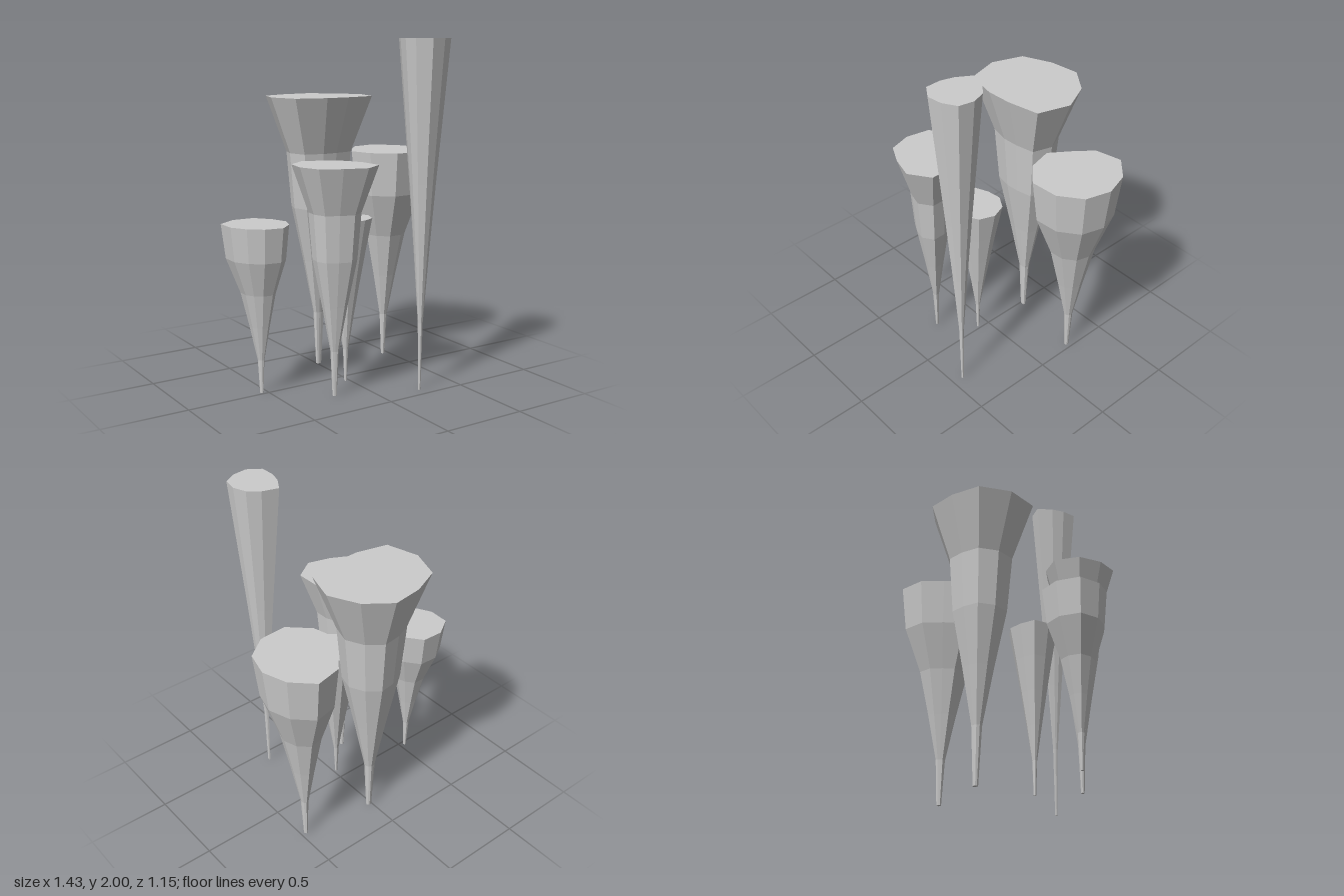
import * as THREE from 'three';

const SIDES = 10;
const STEP = (Math.PI * 2) / SIDES;

// Each column: base centre, height, radius of the ring below the top (as a
// fraction of the top), and the top radius at every corner from +x towards +z.
const COLUMNS = [
  { name: 'tallColumn', x: 0.25, z: 0.43, height: 2.0, shoulder: 0.76,
    radii: [0.135, 0.147, 0.137, 0.149, 0.151, 0.125, 0.128, 0.168, 0.138, 0.132] },
  { name: 'wideBackColumn', x: 0.015, z: -0.295, height: 1.66, shoulder: 0.61,
    radii: [0.32, 0.325, 0.24, 0.247, 0.325, 0.315, 0.31, 0.27, 0.295, 0.292] },
  { name: 'leftColumn', x: 0.465, z: -0.24, height: 1.32, shoulder: 0.885,
    radii: [0.25, 0.258, 0.26, 0.272, 0.25, 0.24, 0.197, 0.236, 0.273, 0.25] },
  { name: 'frontRightColumn', x: -0.213, z: 0.247, height: 1.32, shoulder: 0.61,
    radii: [0.193, 0.245, 0.24, 0.2, 0.22, 0.217, 0.235, 0.24, 0.195, 0.182] },
  { name: 'rightColumn', x: -0.535, z: -0.02, height: 0.98, shoulder: 0.885,
    radii: [0.17, 0.165, 0.18, 0.165, 0.16, 0.18, 0.218, 0.21, 0.205, 0.17] },
  { name: 'smallMiddleColumn', x: -0.022, z: 0.07, height: 0.98, shoulder: 0.75,
    radii: [0.157, 0.153, 0.142, 0.137, 0.13, 0.14, 0.159, 0.135, 0.145, 0.152] },
];

// Irregular tapering column: a faceted cylinder scaled ring by ring and corner by corner
function columnGeometry({ height, shoulder, radii }) {
  const rings = [0.05, 0.1, 0.3, 0.52, shoulder, 1];
  const segments = rings.length - 1;
  const geometry = new THREE.CylinderGeometry(1, 1, height, SIDES, segments, false, Math.PI / 2);
  geometry.translate(0, height / 2, 0);
  const p = geometry.attributes.position;
  for (let i = 0; i < p.count; i++) {
    const x = p.getX(i), z = p.getZ(i);
    if (Math.hypot(x, z) < 0.5) continue; // cap centres stay put
    const corner = (Math.round(Math.atan2(z, x) / STEP) + SIDES) % SIDES;
    const ring = Math.round((p.getY(i) / height) * segments);
    const r = radii[corner] * rings[ring];
    p.setX(i, x * r);
    p.setZ(i, z * r);
  }
  const flat = geometry.toNonIndexed();
  flat.computeVertexNormals();
  return flat;
}

export function createModel() {
  const group = new THREE.Group();
  group.name = 'columnCluster';
  const material = new THREE.MeshStandardMaterial({ color: 0xcccccc, flatShading: true });
  for (const column of COLUMNS) {
    const mesh = new THREE.Mesh(columnGeometry(column), material);
    mesh.name = column.name;
    mesh.position.set(column.x, 0, column.z);
    group.add(mesh);
  }
  return group;
}
